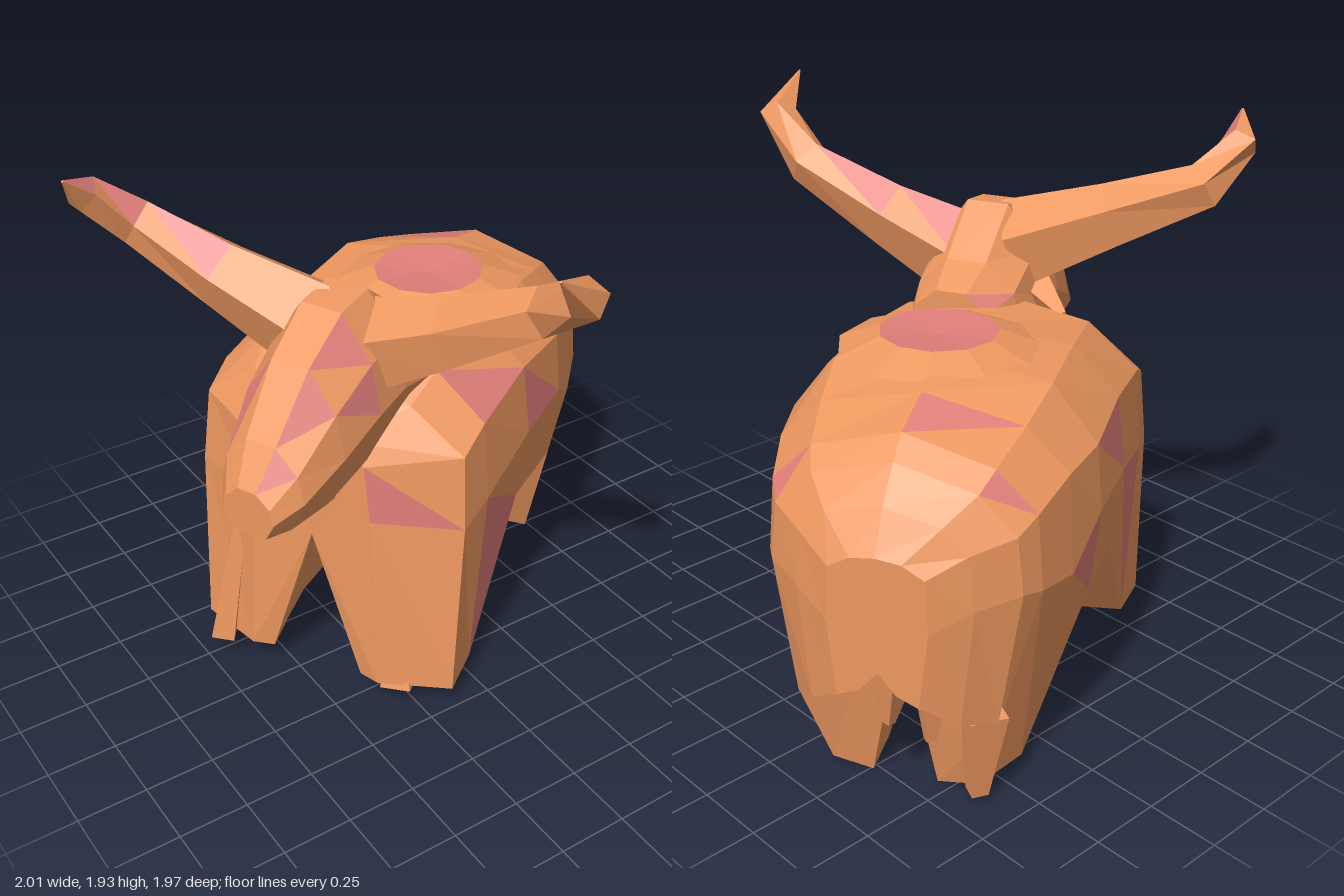
import * as THREE from 'three';

const V = (x, y, z) => new THREE.Vector3(x, y, z);
const UP = V(0, 1, 0);
const hide = new THREE.MeshStandardMaterial({ color: 0xee9860, flatShading: true, side: THREE.DoubleSide });
const rosy = new THREE.MeshStandardMaterial({ color: 0xe27f7a, flatShading: true, side: THREE.DoubleSide });

function mesh(name, positions, material) {
  const g = new THREE.BufferGeometry();
  g.setAttribute('position', new THREE.Float32BufferAttribute(positions, 3));
  g.computeVertexNormals();
  const m = new THREE.Mesh(g, material);
  m.name = name;
  return m;
}

// Skin a row of rings; each ring is { origin, dir, pts: [[side, up, along], ...] } running counter-clockwise.
// Cells chosen by isRosy(ring, side) get the rosy colour.
function loft(name, rings, isRosy = () => false) {
  const plain = [], tinted = [];
  const add = (list, ...ps) => ps.forEach(p => list.push(p.x, p.y, p.z));
  const placed = rings.map(({ origin, dir, pts }) => {
    const side = V().crossVectors(dir, UP).normalize();
    const up = V().crossVectors(side, dir).normalize();
    return pts.map(([a, b, c = 0]) => origin.clone()
      .addScaledVector(side, a).addScaledVector(up, b).addScaledVector(dir, c));
  });
  for (let k = 0; k < placed.length - 1; k++) {
    const P = placed[k], Q = placed[k + 1], n = P.length;
    for (let i = 0; i < n; i++) {
      const j = (i + 1) % n, list = isRosy(k, i) ? tinted : plain;
      add(list, P[i], Q[i], P[j]);
      add(plain, P[j], Q[i], Q[j]);
    }
  }
  [0, placed.length - 1].forEach((k, last) => {
    const flat = rings[k].pts.map(([a, b]) => new THREE.Vector2(a, b));
    for (const [a, b, c] of THREE.ShapeUtils.triangulateShape(flat, [])) {
      const R = placed[k];
      if (last) add(plain, R[a], R[c], R[b]); else add(plain, R[a], R[b], R[c]);
    }
  });
  const group = new THREE.Group();
  group.name = name;
  group.add(mesh(name + 'Hide', plain, hide));
  if (tinted.length) group.add(mesh(name + 'Patches', tinted, rosy));
  return group;
}

// Tapered faceted limb through [x, y, z, radius] points
function taper(name, path, sides, isRosy) {
  const pts = path.map(p => V(p[0], p[1], p[2]));
  return loft(name, path.map((p, k) => ({
    origin: pts[k],
    dir: V().subVectors(pts[Math.min(k + 1, pts.length - 1)], pts[Math.max(k - 1, 0)]).normalize(),
    pts: Array.from({ length: sides }, (_, i) => {
      const a = (i / sides) * Math.PI * 2 + 0.4;
      return [Math.cos(a) * p[3], Math.sin(a) * p[3]];
    })
  })), isRosy);
}

export function createModel() {
  const model = new THREE.Group();
  model.name = 'hornedOx';

  // Barrel body with flanks running down into four legs, standing diagonally.
  // Each row: station, top height, then [half width, height, shift along] of shoulder, side, flank,
  // outer hem, inner hem, and finally belly height.
  const back = V(0.867, 0, -0.5), left = V(0.5, 0, 0.867);
  const body = [
    [-0.45, 1.12, [0.13, 1.08], [0.21, 1.00], [0.23, 0.78], [0.26, 0.09, -0.02], [0.18, 0.09], 0.66],
    [-0.28, 1.25, [0.30, 1.17], [0.50, 1.02], [0.52, 0.75, -0.03], [0.51, 0.08, -0.09], [0.22, 0.08], 0.56],
    [-0.14, 1.31, [0.33, 1.24], [0.51, 1.08], [0.53, 0.78], [0.49, 0.08, -0.04], [0.25, 0.08], 0.47],
    [0.20, 1.325, [0.35, 1.28], [0.51, 1.12], [0.54, 0.86], [0.50, 0.57], [0.40, 0.44], 0.43],
    [0.52, 1.325, [0.36, 1.28], [0.51, 1.09], [0.53, 0.86], [0.50, 0.57], [0.40, 0.44], 0.43],
    [0.73, 1.29, [0.33, 1.22], [0.47, 1.08], [0.49, 0.74], [0.34, 0.03], [0.12, 0.01], 0.47],
    [0.92, 1.24, [0.29, 1.16], [0.42, 1.03], [0.44, 0.78], [0.25, 0.03], [0.11, 0.01], 0.50],
    [1.00, 1.18, [0.26, 1.11], [0.38, 0.99], [0.40, 0.80], [0.33, 0.33], [0.14, 0.40], 0.53],
    [1.10, 1.08, [0.18, 1.04], [0.26, 0.96], [0.28, 0.78], [0.24, 0.38], [0.10, 0.44], 0.55],
    [1.17, 0.95, [0.08, 0.94], [0.15, 0.90], [0.16, 0.72], [0.13, 0.46], [0.06, 0.49], 0.56]
  ];
  const bodyPatches = [[0, 9], [2, 8], [2, 10], [3, 9], [5, 8], [6, 10], [2, 3], [4, 3], [3, 2], [5, 0], [6, 1]];
  model.add(loft('body', body.map(([s, top, ...rest]) => {
    const belly = rest.pop();
    return {
      origin: back.clone().multiplyScalar(s).addScaledVector(left, -0.165),
      dir: back,
      pts: [[0, top], ...rest.map(([w, ...p]) => [-w, ...p]), [0, belly], ...rest.slice().reverse()]
    };
  }), (k, i) => bodyPatches.some(p => p[0] === k && p[1] === i)));

  // Shallow dish on the back
  const lathe = (name, profile, material) => {
    const g = new THREE.LatheGeometry(profile.map(p => new THREE.Vector2(...p)), 11).toNonIndexed();
    g.computeVertexNormals();
    const m = new THREE.Mesh(g, material);
    m.name = name;
    m.position.set(0.25, 0, -0.26);
    return m;
  };
  model.add(lathe('dishRim', [[0.34, 1.29], [0.2, 1.345]], hide));
  model.add(lathe('dish', [[0.2, 1.345], [0, 1.327]], rosy));

  // Head: station, half width, top and bottom heights
  const nose = V(-0.91, 0, 0.41);
  const head = [
    [-0.34, 0.16, 1.36, 1.13], [-0.2, 0.21, 1.43, 1.08], [0, 0.22, 1.59, 1.05], [0.15, 0.22, 1.57, 1.02],
    [0.33, 0.2, 1.45, 0.97], [0.5, 0.16, 1.25, 0.96], [0.585, 0.1, 1.12, 0.96]
  ];
  model.add(loft('head', head.map(([u, w, top, low]) => ({
    origin: V(-0.3, 0, 0.08).addScaledVector(nose, u),
    dir: nose,
    pts: [[0.35, 1], [-0.35, 1], [-0.85, 0.72], [-1, 0.4], [-0.65, 0], [0.65, 0], [1, 0.4], [0.85, 0.72]]
      .map(([a, b]) => [a * w, low + b * (top - low)])
  })), (k, i) => (i === 1 && k > 2) || (i === 7 && k % 2 === 0) || (i === 2 && k === 3)));

  // Horns sweep out and curl at the tip
  model.add(taper('leftHorn', [[-0.27, 1.38, 0.14, 0.17], [-0.13, 1.51, 0.42, 0.12], [0.01, 1.67, 0.71, 0.085],
    [-0.01, 1.81, 0.91, 0.07], [-0.17, 1.94, 0.98, 0.004]], 5, (k, i) => i === 1 && k < 2));
  model.add(taper('rightHorn', [[-0.38, 1.43, 0.01, 0.17], [-0.57, 1.56, -0.27, 0.12], [-0.74, 1.69, -0.53, 0.085],
    [-0.91, 1.82, -0.55, 0.065], [-1.0, 1.91, -0.48, 0.004]], 5, (k, i) => i === 1 && k > 0));

  // Ear, beard, tail and shaggy leg tufts
  const tufts = [
    ['rightEar', [-0.38, 1.3, -0.08, 0.08], [-0.32, 1.25, -0.28, 0.02]],
    ['beard', [-0.57, 1.03, 0.2, 0.09], [-0.46, 0.88, 0.2, 0.02]],
    ['tail', [0.82, 0.58, -0.68, 0.1], [0.83, 0.3, -0.66, 0.02]],
    ['tailSide', [0.74, 0.58, -0.77, 0.1], [0.76, 0.26, -0.77, 0.02]],
    ['frontRightTuft', [-0.56, 0.74, -0.22, 0.02], [-0.68, 0.08, -0.25, 0.06]],
    ['frontLeftTuft', [-0.26, 0.3, 0.3, 0.01], [-0.27, 0.06, 0.32, 0.08]],
    ['hindRightTuft', [0.47, 0.4, -0.72, 0.09], [0.44, 0.03, -0.75, 0.04]],
    ['hindRightHeelTuft', [0.62, 0.35, -0.86, 0.09], [0.62, 0.03, -0.84, 0.04]]
  ];
  for (const [name, base, tip] of tufts) model.add(taper(name, [base, tip], 4));

  return model;
}
